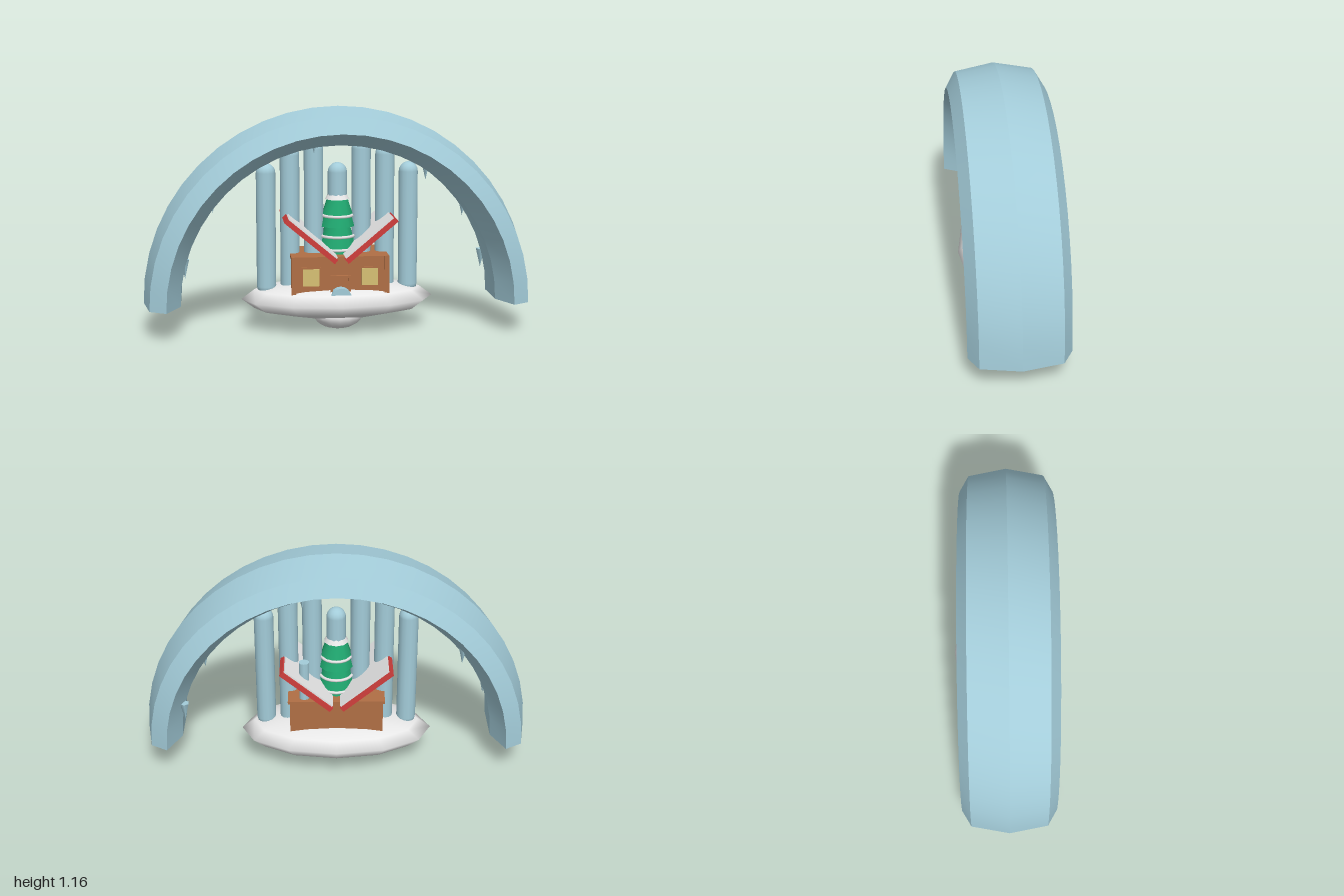
import * as THREE from 'three';
import { toCreasedNormals } from 'three/addons/utils/BufferGeometryUtils.js';

const colours = {
  ice: 0xa3ccd9, snow: 0xf0f0f0, timber: 0xb06f45, roofRed: 0xd03f3c,
  pine: 0x20a870, windowGlow: 0xd6c074,
};
const mats = {};
for (const [name, color] of Object.entries(colours)) {
  mats[name] = new THREE.MeshStandardMaterial({ color });
  mats[name].name = name;
}

export function createModel() {
  const model = new THREE.Group();
  model.name = 'snowScene';

  const add = (name, geo, mat, x = 0, y = 0, z = 0, parent = model) => {
    const m = new THREE.Mesh(geo, mats[mat]);
    m.name = name;
    m.position.set(x, y, z);
    parent.add(m);
    return m;
  };
  const box = (name, w, h, d, mat, x, y, z, parent) =>
    add(name, new THREE.BoxGeometry(w, h, d), mat, x, y, z, parent);

  // Wide seven-sided ice arch with closed feet
  const depth = 2.56;
  const arch = new THREE.TorusGeometry(0.9, 0.1, 7, 24, Math.PI);
  arch.scale(1, 1, depth);
  add('iceArch', toCreasedNormals(arch, 0.35), 'ice', 0, 0.16, 0.02);
  for (const side of [-1, 1]) {
    const foot = new THREE.CircleGeometry(0.1, 7);
    foot.rotateX(Math.PI / 2);
    if (side < 0) foot.rotateY(Math.PI);
    foot.scale(1, 1, depth);
    add('archFoot', foot, 'ice', side * 0.9, 0.16, 0.02);
  }

  // Icicles under the arch: x, tip y, z
  const icicles = [
    [-0.785, 0.3, 0.11], [-0.64, 0.6, -0.1], [-0.125, 0.92, 0.06], [0.17, 0.89, -0.06],
    [0.45, 0.78, 0.05], [0.67, 0.57, -0.07], [0.785, 0.28, -0.12],
  ];
  for (const [x, y, z] of icicles) {
    const cone = new THREE.ConeGeometry(0.025, 0.1, 6);
    cone.rotateX(Math.PI);
    add('icicle', cone, 'ice', x, y + 0.05, z);
  }

  // Snowy island and the knob beneath it
  const island = new THREE.SphereGeometry(1, 12, 6);
  island.scale(0.5, 0.1, 0.26);
  add('snowIsland', island, 'snow', 0, 0.16, -0.01);
  const knob = new THREE.SphereGeometry(1, 16, 10);
  knob.scale(0.13, 0.075, 0.13);
  add('islandKnob', knob, 'snow', 0, 0.078, 0.02);

  // Row of round-topped ice pillars
  const tops = [0.87, 0.99, 0.96, 0.87];
  for (let i = -3; i <= 3; i++) {
    const h = tops[Math.abs(i)] - 0.18;
    const pillar = new THREE.CapsuleGeometry(0.05, h - 0.1, 5, 14);
    add('icePillar', pillar, 'ice', i * 0.123, 0.18 + h / 2, 0);
  }

  // House
  const house = new THREE.Group();
  house.name = 'house';
  model.add(house);
  box('walls', 0.48, 0.21, 0.3, 'timber', 0, 0.295, 0, house);
  for (const s of [-1, 1]) {
    box('cornerPost', 0.025, 0.22, 0.025, 'timber', s * 0.238, 0.295, 0.148, house);
    box('windowFrame', 0.1, 0.105, 0.006, 'timber', s * 0.15, 0.3, 0.152, house);
    box('windowPane', 0.084, 0.088, 0.008, 'windowGlow', s * 0.15, 0.3, 0.155, house);
    box('doorJamb', 0.012, 0.12, 0.02, 'timber', s * 0.046, 0.245, 0.158, house);
  }
  box('doorLintel', 0.104, 0.012, 0.02, 'timber', 0, 0.303, 0.158, house);
  box('wallPlate', 0.5, 0.015, 0.31, 'timber', 0, 0.398, 0, house);

  // Rounded ice porch in front of the door
  const porch = new THREE.CylinderGeometry(0.055, 0.055, 0.05, 16);
  porch.rotateX(Math.PI / 2);
  add('icePorch', porch, 'ice', 0, 0.195, 0.175, house);

  // Upswept roof boards with a layer of snow on each
  for (const s of [-1, 1]) {
    const slope = new THREE.Group();
    slope.name = 'roofSlope';
    slope.position.set(s * 0.153, 0.495, 0);
    slope.rotation.z = s * 0.7;
    house.add(slope);
    box('roofBoard', 0.33, 0.026, 0.42, 'roofRed', 0, 0, 0, slope);
    box('roofSnow', 0.315, 0.009, 0.4, 'snow', 0, 0.017, 0, slope);
  }
  add('chimney', new THREE.CylinderGeometry(0.027, 0.027, 0.23, 10), 'ice', 0.165, 0.5, -0.11, house);

  // Tree in tiers: base y, height, bottom radius, top radius
  const tiers = [[0.4, 0.15, 0.105, 0.065], [0.54, 0.08, 0.09, 0.066], [0.605, 0.085, 0.08, 0.052]];
  for (const [y, h, r0, r1] of tiers) {
    const tier = new THREE.CylinderGeometry(r1, r0, h, 10);
    add('treeTier', toCreasedNormals(tier, 0.7), 'pine', 0, y + h / 2, 0);
  }
  for (const [y, r] of [[0.595, 0.077], [0.49, 0.086], [0.425, 0.1]]) {
    const garland = new THREE.TorusGeometry(r, 0.008, 6, 20);
    garland.rotateX(Math.PI / 2);
    add('treeGarland', garland, 'snow', 0, y, 0);
  }
  add('treeSnowCap', new THREE.CylinderGeometry(0.035, 0.064, 0.05, 10), 'snow', 0, 0.705, 0);

  return model;
}
